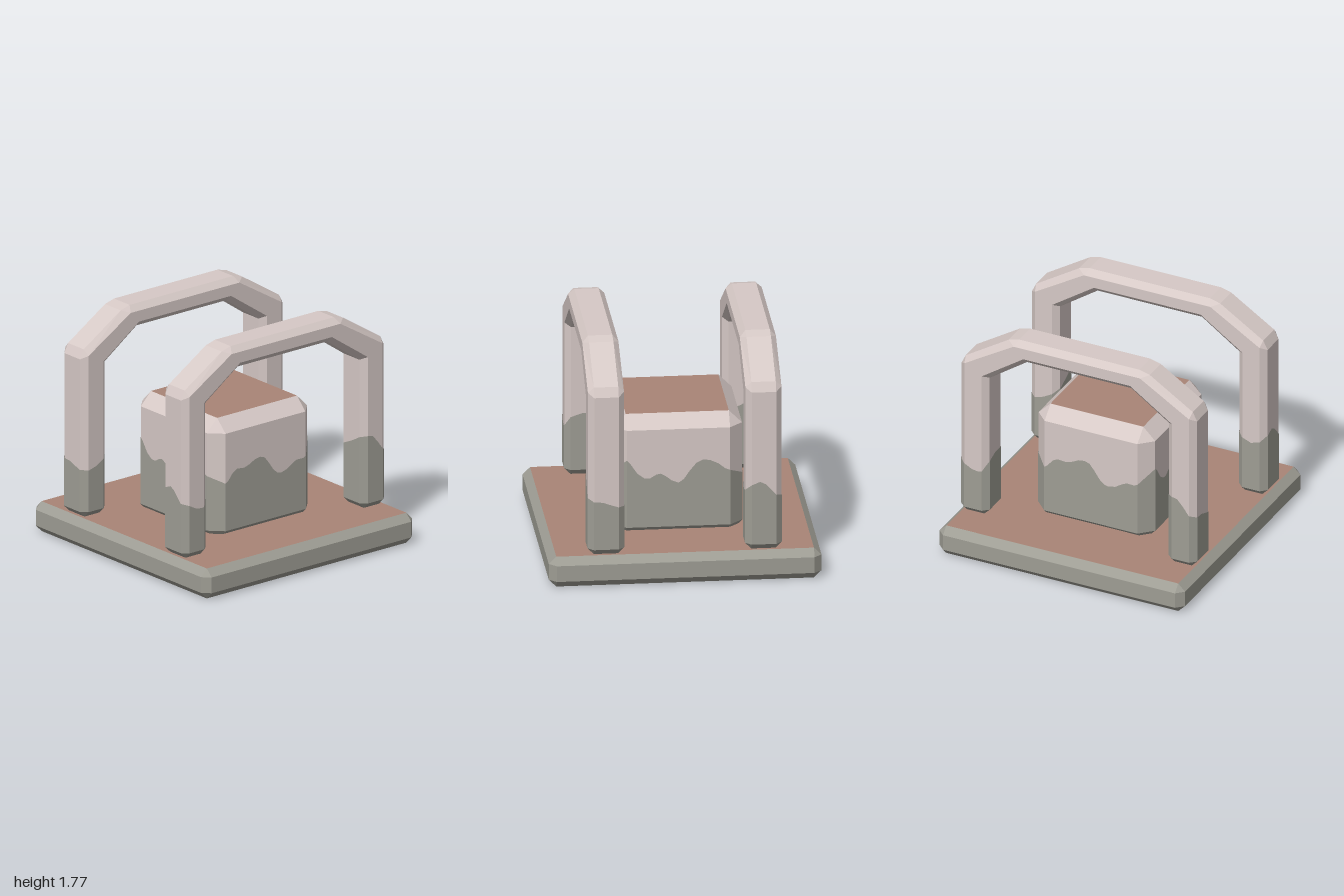
import * as THREE from 'three';

const mat = (name, color, side = THREE.FrontSide) => {
  const m = new THREE.MeshStandardMaterial({ color, side });
  m.name = name;
  return m;
};

// Flat-shaded geometry from triangle corner lists; one group per list
function flatGeometry(...lists) {
  const g = new THREE.BufferGeometry();
  let start = 0;
  lists.forEach((list, i) => {
    g.addGroup(start, list.length, i);
    start += list.length;
  });
  g.setAttribute('position', new THREE.Float32BufferAttribute(lists.flat(2), 3));
  g.computeVertexNormals();
  return g;
}

// Quads between successive rings of points
function loft(rings) {
  const tris = [];
  for (let k = 0; k + 1 < rings.length; k++) {
    const r = rings[k], s = rings[k + 1];
    r.forEach((a, i) => {
      const j = (i + 1) % r.length;
      tris.push(a, r[j], s[j], a, s[j], s[i]);
    });
  }
  return tris;
}

// Prism along z from z0 to z1: outer outline, with bevels down to the cap outline
function bevelPrism(outer, cap, z0, z1, bevel) {
  const at = (pts, z) => pts.map(([x, y]) => [x, y, z]);
  const rings = [at(cap, z0), at(outer, z0 + bevel), at(outer, z1 - bevel), at(cap, z1)];
  const contour = cap.map(([x, y]) => new THREE.Vector2(x, y));
  const caps = [];
  for (const [a, b, c] of THREE.ShapeUtils.triangulateShape(contour, [])) {
    caps.push(rings[3][a], rings[3][b], rings[3][c]);
    caps.push(rings[0][a], rings[0][c], rings[0][b]);
  }
  return flatGeometry(loft(rings), caps);
}

// Square box with every edge bevelled, caps at top and bottom
function bevelBox(half, y0, y1, b) {
  const s = half - b;
  const outer = [[half, -s], [half, s], [s, half], [-s, half], [-half, s], [-half, -s], [-s, -half], [s, -half]];
  const cap = outer.map(([x, y]) => [Math.sign(x) * s, Math.sign(y) * s]);
  return bevelPrism(outer, cap, y0, y1, b).rotateX(-Math.PI / 2);
}

// Thin coat around a bevelled post: wall points are [x, z, height]
function paintCoat(points, cx, cz, hx, hz, y0, b) {
  const grow = 0.003;
  const pts = points.map(([x, z, h]) => [cx + (x - cx) * (1 + grow / hx), cz + (z - cz) * (1 + grow / hz), h]);
  const clamp = THREE.MathUtils.clamp;
  return flatGeometry(loft([
    pts.map(([x, z]) => [clamp(x, cx - hx + b, cx + hx - b), y0 - grow, clamp(z, cz - hz + b, cz + hz - b)]),
    pts.map(([x, z]) => [x, y0 + b, z]),
    pts.map(([x, z, h]) => [x, h, z]),
  ]));
}

export function createModel() {
  const model = new THREE.Group();
  const pink = mat('pale pink stone', 0xd6c9c6);
  const grey = mat('grey stone', 0x9e9d94);
  const greyCoat = mat('grey coat', 0x9e9d94, THREE.DoubleSide);
  const brown = mat('brown clay', 0xa98576);
  const add = (parent, name, geometry, material) => {
    const mesh = new THREE.Mesh(geometry, material);
    mesh.name = name;
    parent.add(mesh);
  };

  // Base slab and central block
  add(model, 'baseSlab', bevelBox(1, 0, 0.232, 0.055), [grey, brown]);
  add(model, 'centreBlock', bevelBox(0.475, 0.165, 1.113, 0.097), [pink, brown]);

  // Wavy lower coat of the block, half of it repeated by a half turn
  const frontWave = [[-0.378, 0.63], [-0.35, 0.65], [-0.31, 0.7], [-0.27, 0.722], [-0.2, 0.715], [-0.15, 0.732],
    [-0.1, 0.758], [-0.05, 0.765], [-0.01, 0.75], [0.03, 0.7], [0.07, 0.64], [0.11, 0.605], [0.14, 0.597],
    [0.2, 0.612], [0.25, 0.645], [0.29, 0.664], [0.35, 0.662], [0.378, 0.675]];
  const sideWave = [[0.378, 0.785], [0.35, 0.755], [0.3, 0.68], [0.25, 0.643], [0.21, 0.64], [0.16, 0.67],
    [0.13, 0.675], [0.09, 0.652], [0.05, 0.62], [0, 0.6], [-0.04, 0.63], [-0.08, 0.69], [-0.13, 0.75],
    [-0.18, 0.775], [-0.23, 0.768], [-0.29, 0.74], [-0.34, 0.7], [-0.378, 0.685]];
  const half = [...frontWave.map(([x, h]) => [x, 0.475, h]), ...sideWave.map(([z, h]) => [0.475, z, h])];
  const around = [...half, ...half.map(([x, z, h]) => [-x, -z, h])];
  add(model, 'blockLowerCoat', paintCoat(around, 0, 0, 0.475, 0.475, 0.165, 0.097), greyCoat);

  // Arch outlines: left half, then mirrored
  const mirror = (pts) => [...pts, ...pts.map(([x, y]) => [-x, y]).reverse()];
  const archOuter = mirror([[0.425, 1.602], [0.73, 1.39], [0.73, 0.278], [0.775, 0.233], [0.915, 0.233],
    [0.96, 0.278], [0.96, 1.46], [0.925, 1.53], [0.575, 1.752], [0.49, 1.775]]);
  const archFace = mirror([[0.435, 1.645], [0.775, 1.412], [0.775, 0.278], [0.775, 0.278], [0.915, 0.278],
    [0.915, 0.278], [0.915, 1.487], [0.915, 1.487], [0.515, 1.73], [0.515, 1.73]]);

  // Wavy lower coats of the two legs
  const leftLeg = [[0.775, 0.71, 0.8], [0.82, 0.71, 0.79], [0.86, 0.71, 0.745], [0.9, 0.71, 0.69], [0.915, 0.71, 0.67],
    [0.96, 0.667, 0.65], [0.96, 0.6, 0.645], [0.96, 0.55, 0.625], [0.96, 0.49, 0.605],
    [0.915, 0.445, 0.6], [0.845, 0.445, 0.62], [0.775, 0.445, 0.66],
    [0.73, 0.49, 0.7], [0.73, 0.58, 0.74], [0.73, 0.667, 0.79]];
  const rightLeg = [[-0.915, 0.71, 0.645], [-0.85, 0.71, 0.61], [-0.8, 0.71, 0.603], [-0.775, 0.71, 0.61],
    [-0.73, 0.667, 0.69], [-0.73, 0.58, 0.72], [-0.73, 0.49, 0.72],
    [-0.775, 0.445, 0.7], [-0.845, 0.445, 0.67], [-0.915, 0.445, 0.69],
    [-0.96, 0.49, 0.74], [-0.96, 0.55, 0.765], [-0.96, 0.59, 0.745], [-0.96, 0.63, 0.7], [-0.96, 0.667, 0.66]];

  // Front arch, and the same arch half-turned at the back
  for (const [name, turn] of [['frontArch', 0], ['backArch', Math.PI]]) {
    const arch = new THREE.Group();
    arch.name = name;
    arch.rotation.y = turn;
    add(arch, 'archFrame', bevelPrism(archOuter, archFace, 0.445, 0.71, 0.043), [pink, pink]);
    add(arch, 'leftLegCoat', paintCoat(leftLeg, 0.845, 0.5775, 0.115, 0.1325, 0.233, 0.045), greyCoat);
    add(arch, 'rightLegCoat', paintCoat(rightLeg, -0.845, 0.5775, 0.115, 0.1325, 0.233, 0.045), greyCoat);
    model.add(arch);
  }
  return model;
}
